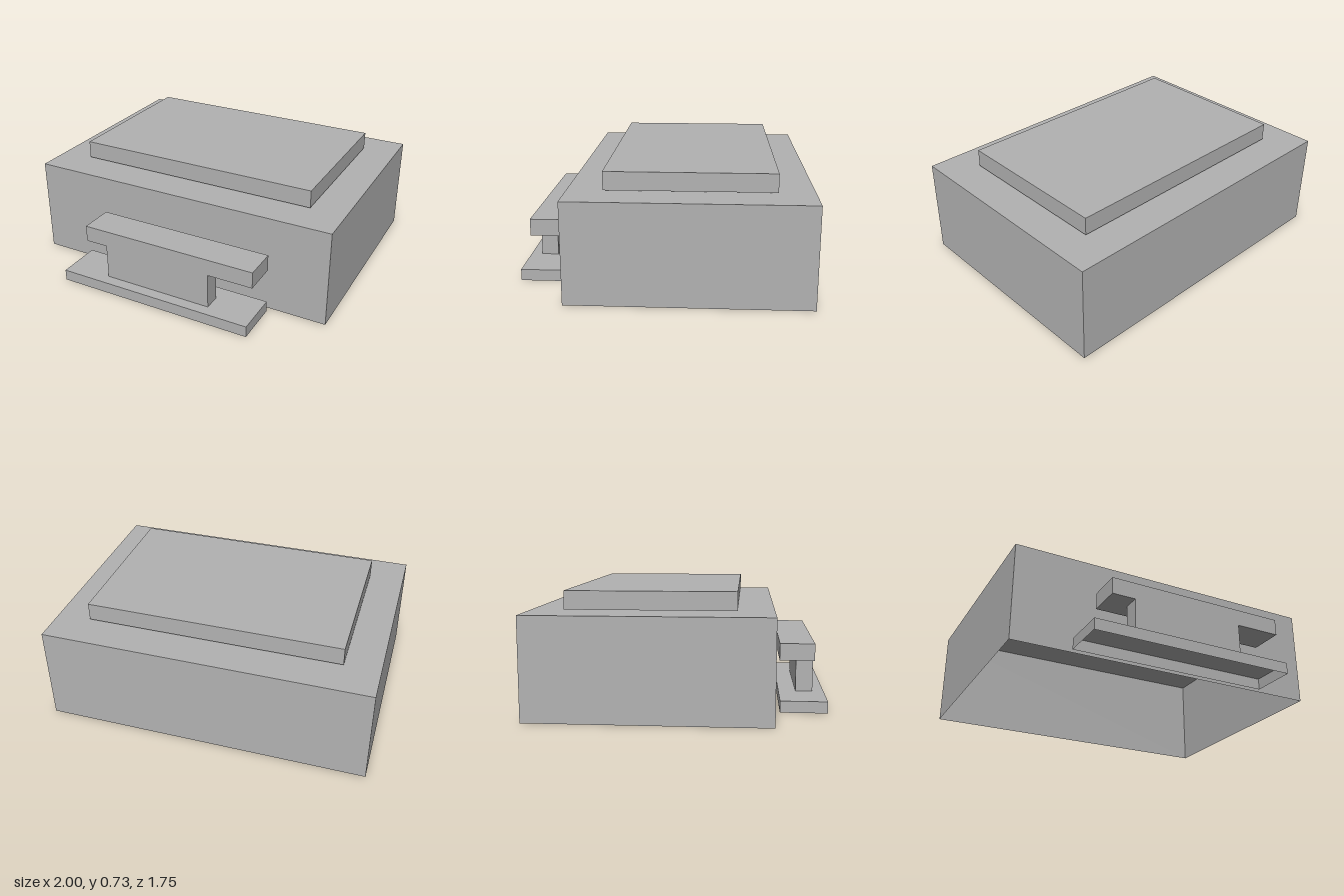
import * as THREE from 'three';

const grey = new THREE.MeshStandardMaterial({ color: 0xb2b2b2, side: THREE.DoubleSide });
grey.name = 'plain grey';

// Box from its minimum and maximum corners; optionally without its underside
function block(name, [x0, y0, z0], [x1, y1, z1], openBelow = false) {
  const geometry = new THREE.BoxGeometry(x1 - x0, y1 - y0, z1 - z0);
  if (openBelow) {
    // The underside is the fourth of six faces, six indices each
    const index = Array.from(geometry.index.array);
    index.splice(18, 6);
    geometry.setIndex(index);
    geometry.clearGroups();
  }
  const mesh = new THREE.Mesh(geometry, grey);
  mesh.name = name;
  mesh.position.set((x0 + x1) / 2, (y0 + y1) / 2, (z0 + z1) / 2);
  return mesh;
}

export function createModel() {
  const model = new THREE.Group();
  model.name = 'buildingBlocks';

  // Large hollow hall with a roof slab just above it
  model.add(
    block('mainHall', [-1, 0, -0.875], [1, 0.61, 0.555], true),
    block('roofSlab', [-0.785, 0.62, -0.66], [0.785, 0.73, 0.34]),
  );

  // Entrance: hollow step, wall and overhanging canopy, flush at the front
  const entrance = new THREE.Group();
  entrance.name = 'entrance';
  entrance.add(
    block('entranceStep', [-0.64, 0, 0.593], [0.64, 0.07, 0.875], true),
    block('entranceWall', [-0.355, 0.07, 0.7], [0.355, 0.29, 0.805], true),
    block('entranceCanopy', [-0.5, 0.29, 0.593], [0.64, 0.393, 0.805]),
  );
  model.add(entrance);
  return model;
}
